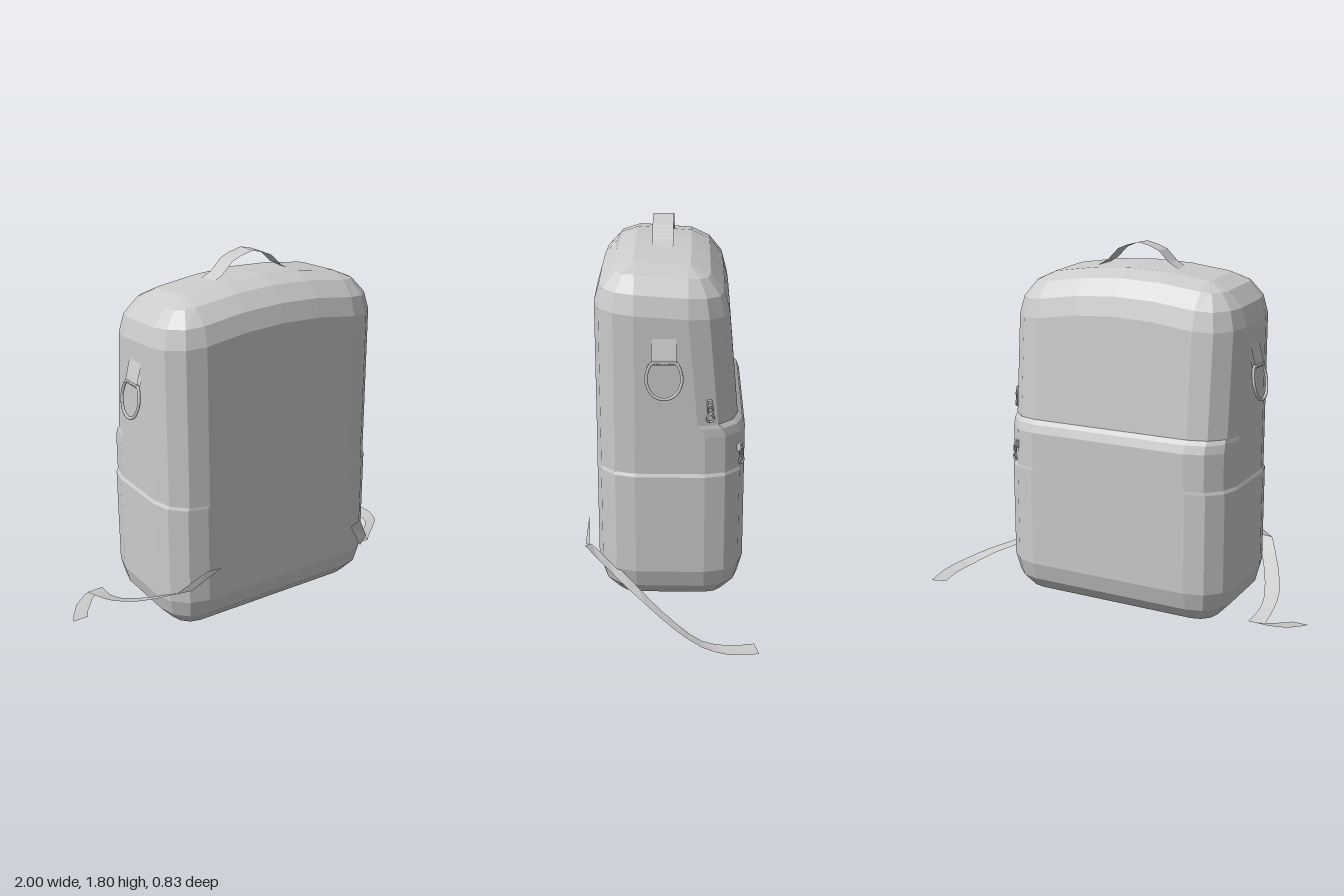
import * as THREE from 'three';

const CX = -0.045; // the bag sits slightly off centre because of its loose straps
const flat = new THREE.MeshStandardMaterial({ color: 0xcccccc, flatShading: true });
const thin = new THREE.MeshStandardMaterial({ color: 0xcccccc, flatShading: true, side: THREE.DoubleSide });
const smooth = new THREE.MeshStandardMaterial({ color: 0xcccccc });

function add(parent, name, geometry, material) {
  const mesh = new THREE.Mesh(geometry, material);
  mesh.name = name;
  parent.add(mesh);
  return mesh;
}

function fromPoints(points, index) {
  const g = new THREE.BufferGeometry();
  g.setAttribute('position', new THREE.Float32BufferAttribute(points.flat(), 3));
  g.setIndex(index);
  g.computeVertexNormals();
  return g;
}

// Strip of webbing between two edges of equal length
function ribbon(a, b) {
  const index = [];
  const n = a.length;
  for (let i = 0; i < n - 1; i++) index.push(i, i + 1, n + i + 1, i, n + i + 1, n + i);
  return fromPoints([...a, ...b], index);
}

// One edge of a strap, rounded through its points
function edge(points, steps) {
  const curve = new THREE.CatmullRomCurve3(points.map(p => new THREE.Vector3(...p)));
  return curve.getPoints(steps).map(p => p.toArray());
}

// Rounded-rectangle section: front half left to right, then back half right to left
function section({ y, w, back, inset = 0, arch = 0, tilt = 0 }) {
  const r = Math.max(0.19 - inset, 0.02);
  const hw = w - inset, zf = 0.345 - inset, zb = back + inset;
  const half = [];
  for (let i = 0; i <= 3; i++) {
    const a = (i / 3) * Math.PI / 2;
    half.push([-hw + r - r * Math.cos(a), r - r * Math.sin(a)]);
  }
  for (let i = 1; i <= 3; i++) half.push([(hw - r) * (i / 2 - 1), 0]);
  for (let i = 3; i >= 0; i--) half.push([-half[i][0], half[i][1]]);
  const put = (x, z) => [
    CX + x,
    y + arch * Math.max(0, 1 - (x / 0.45) ** 2) - tilt * (0.345 - z) / 0.6,
    z
  ];
  return [
    ...half.map(([x, d]) => put(x, zf - d)),
    ...half.map(([x, d]) => put(x, zb + d)).reverse()
  ];
}

function bodyGeometry() {
  const low = { w: 0.611, back: -0.36 };
  const top = { w: 0.603, back: -0.28, arch: 0.045, tilt: 0.04 };
  const rings = [
    { ...low, y: 0.005, inset: 0.18 },
    { ...low, y: 0.03, inset: 0.09 },
    { ...low, y: 0.1, inset: 0.025 },
    { ...low, y: 0.19 },
    // side pocket lip
    { ...low, y: 0.685 },
    { y: 0.7, w: 0.603, back: -0.36 },
    // back pocket lip
    { y: 0.88, w: 0.603, back: -0.36 },
    { y: 0.92, w: 0.603, back: -0.347 },
    { y: 0.94, w: 0.603, back: -0.325 },
    // main compartment with arched top
    { ...top, y: 1.475 },
    { ...top, y: 1.565, inset: 0.025 },
    { ...top, y: 1.64, inset: 0.09 },
    { ...top, y: 1.675, inset: 0.18 }
  ].map(section);
  const n = rings[0].length, last = (rings.length - 1) * n;
  const index = [];
  for (let j = 0; j < rings.length - 1; j++) {
    for (let k = 0; k < n; k++) {
      const a = j * n + k, b = j * n + (k + 1) % n;
      index.push(a, b, b + n, a, b + n, a + n);
    }
  }
  // end caps join matching front and back points
  for (let i = 0; i < n / 2 - 1; i++) {
    const p = i, q = i + 1, s = n - 2 - i, t = n - 1 - i;
    index.push(last + p, last + q, last + s, last + p, last + s, last + t);
    index.push(p, s, q, p, t, s);
  }
  return fromPoints(rings.flat(), index);
}

// Slider with a two-link puller, facing +z
function zipPull(name) {
  const g = new THREE.Group();
  g.name = name;
  add(g, 'slider', new THREE.BoxGeometry(0.022, 0.04, 0.018), flat).position.y = 0.035;
  const link = add(g, 'link', new THREE.TorusGeometry(0.012, 0.004, 6, 12), smooth);
  link.scale.y = 2;
  link.position.set(0, 0.012, 0.01);
  add(g, 'pullRing', new THREE.TorusGeometry(0.017, 0.005, 6, 14), smooth).position.set(0, -0.03, 0.01);
  return g;
}

export function createModel() {
  const model = new THREE.Group();
  model.name = 'backpack';
  add(model, 'body', bodyGeometry(), flat);

  // Carry handle arched over the top
  const arc = [[-0.25, 1.67], [-0.21, 1.69], [-0.165, 1.715], [-0.11, 1.77], [-0.06, 1.79], [0, 1.805]];
  const handle = [...arc, ...arc.slice(0, -1).reverse().map(([x, y]) => [-x, y])];
  add(model, 'handle', ribbon(
    handle.map(([x, y]) => [CX + x, y, 0.085]),
    handle.map(([x, y]) => [CX + x, y, -0.015])), thin);

  // Side rings hanging from webbing loops
  for (const s of [-1, 1]) {
    const side = s > 0 ? 'left' : 'right';
    const loop = [[0.6, 1.37], [0.611, 1.33], [0.628, 1.265], [0.628, 1.242], [0.617, 1.245], [0.6, 1.3]];
    add(model, side + 'RingLoop', ribbon(
      loop.map(([x, y]) => [CX + s * x, y, -0.037]),
      loop.map(([x, y]) => [CX + s * x, y, 0.075])), thin);
    const outline = [[-0.055, 1.25], [0, 1.252], [0.055, 1.25], [0.075, 1.215], [0.08, 1.165],
      [0.052, 1.108], [0, 1.088], [-0.052, 1.108], [-0.08, 1.165], [-0.075, 1.215]];
    const path = new THREE.CatmullRomCurve3(outline.map(([z, y]) =>
      new THREE.Vector3(CX + s * (0.624 + (1.25 - y) * 0.17), y, 0.018 + z)), true);
    add(model, side + 'Ring', new THREE.TubeGeometry(path, 40, 0.008, 6, true), smooth);
  }

  // Zip pulls on the left side and on the back pocket corner
  const mainPull = zipPull('mainZipPull');
  mainPull.position.set(0.548, 1.01, -0.19);
  mainPull.rotation.y = Math.PI / 2 + 0.3;
  const pocketPull = zipPull('pocketZipPull');
  pocketPull.position.set(0.472, 0.77, -0.335);
  pocketPull.rotation.y = Math.PI - 0.6;
  model.add(mainPull, pocketPull);

  // Loose left strap: upright tab, then a tail sweeping backwards
  add(model, 'leftStrapTab', ribbon(
    [[0.355, 0.37, 0.395], [0.41, 0.255, 0.41]],
    [[0.42, 0.388, 0.39], [0.47, 0.28, 0.385]]), thin);
  add(model, 'leftStrap', ribbon(
    edge([[0.41, 0.255, 0.385], [0.55, 0.18, 0.22], [0.7, 0.11, 0.08], [0.83, 0.06, -0.05],
      [0.9, 0.02, -0.16], [0.92, 0.01, -0.28], [0.9, 0.008, -0.4]], 12),
    edge([[0.46, 0.27, 0.41], [0.6, 0.175, 0.25], [0.75, 0.115, 0.1], [0.88, 0.07, -0.03],
      [0.97, 0.03, -0.16], [1, 0.012, -0.28], [0.98, 0.005, -0.42]], 12)), thin);

  // Loose right strap: slanted tab, tail and folded end
  add(model, 'rightStrapTab', ribbon(
    [[-0.49, 0.365, 0.365], [-0.65, 0.28, 0.34]],
    [[-0.415, 0.365, 0.375], [-0.57, 0.28, 0.355]]), thin);
  add(model, 'rightStrap', ribbon(
    edge([[-0.65, 0.28, 0.34], [-0.75, 0.19, 0.17], [-0.82, 0.13, 0], [-0.84, 0.1, -0.12], [-0.84, 0.065, -0.24]], 8),
    edge([[-0.57, 0.28, 0.355], [-0.68, 0.18, 0.15], [-0.75, 0.11, -0.02], [-0.765, 0.08, -0.13], [-0.757, 0.065, -0.245]], 8)), thin);
  add(model, 'rightStrapEnd', ribbon(
    [[-0.757, 0.065, -0.245], [-0.84, 0.05, -0.19], [-0.9, 0.037, -0.12], [-0.92, 0.03, -0.08]],
    [[-0.855, 0.06, -0.24], [-0.93, 0.045, -0.19], [-0.98, 0.035, -0.12], [-1, 0.03, -0.08]]), thin);
  return model;
}
